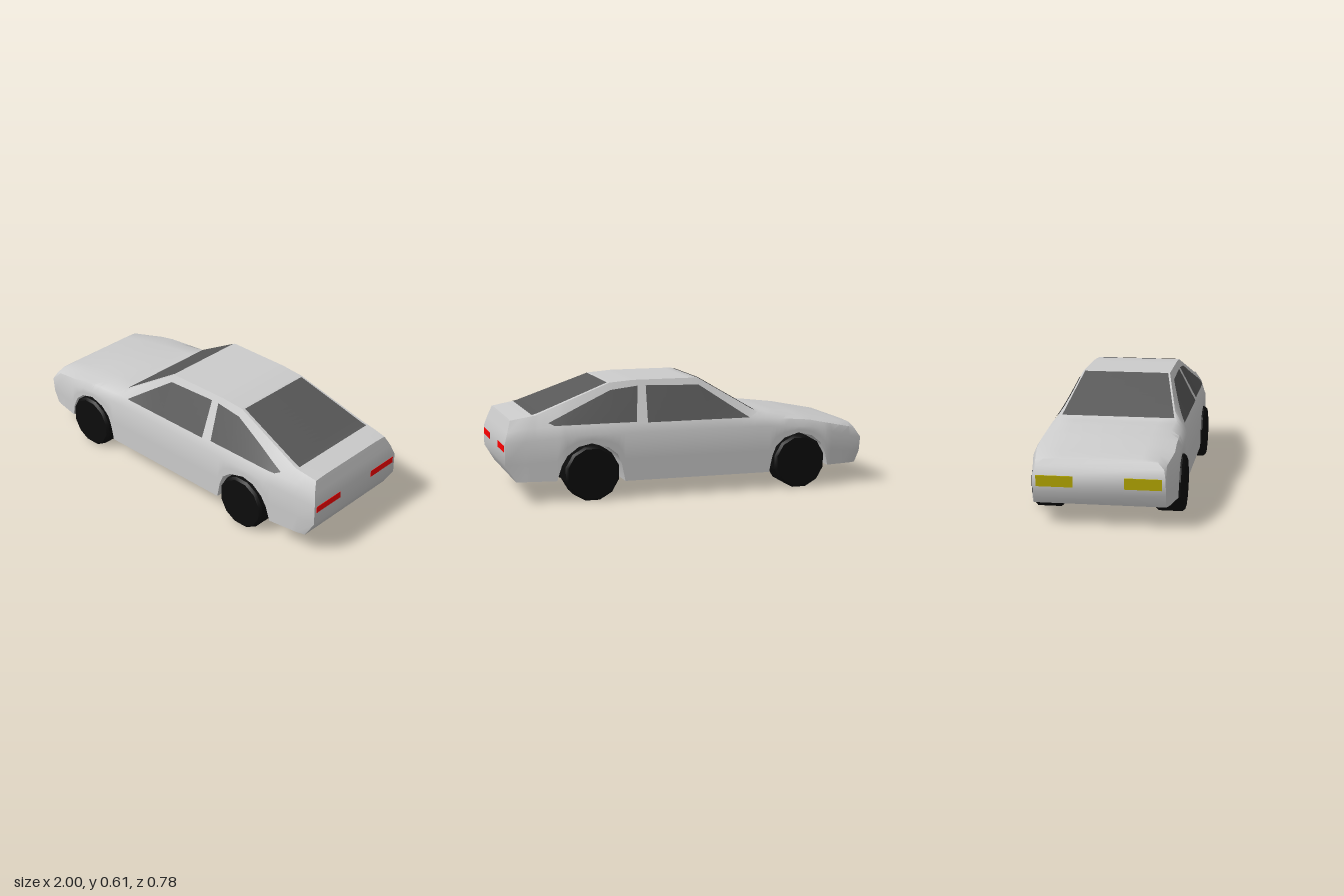
import * as THREE from 'three';
import { toCreasedNormals } from 'three/addons/utils/BufferGeometryUtils.js';

// Body lines along the car: [x, value], nose at -x, tail at +x
const UNDER = [[-1, .11], [-.785, .11], [-.77, .18], [-.74, .24], [-.69, .28], [-.61, .3], [-.53, .275], [-.48, .23],
  [-.46, .18], [-.44, .09], [.37, .09], [.388, .18], [.41, .235], [.46, .275], [.55, .3], [.62, .285], [.68, .24], [.71, .19], [.735, .11], [1, .11]];
const SHOULDER = [[-1, .25], [-.94, .26], [-.68, .33], [-.39, .345], [.6, .345], [1, .31]];
const BELT = [[-1, .3], [-.94, .31], [-.68, .365], [-.39, .39], [.75, .39], [.9, .385], [1, .365]];
const TOP = [[-1, .33], [-.93, .335], [-.68, .378], [-.39, .415], [-.07, .607], [.29, .607], [.42, .597], [.83, .447], [.96, .427], [1, .425]];
const CROWN = [[-1, .004], [-.68, .012], [-.5, .01], [-.39, 0], [.84, 0], [1, .003]];
const WIDTH = [[-1, .33], [-.78, .37], [.7, .37], [1, .33]];
const TOP_WIDTH = [[-1, .285], [-.68, .29], [-.39, .312], [-.07, .24], [.42, .237], [.84, .288], [1, .28]];
const BELT_INSET = [[-1, .012], [-.7, .022], [.8, .022], [1, .018]];
// End outlines: [y, x]
const NOSE = [[.11, -.965], [.19, -1], [.25, -1], [.335, -.945]];
const TAIL = [[.11, .945], [.18, .995], [.2, 1], [.315, 1], [.43, .96]];

// Piecewise linear lookup in a line
function at(line, t) {
  if (t <= line[0][0]) return line[0][1];
  for (let i = 1; i < line.length; i++) {
    const [a, va] = line[i - 1], [b, vb] = line[i];
    if (t <= b) return va + (vb - va) * (t - a) / (b - a);
  }
  return line[line.length - 1][1];
}

const beltZ = x => at(WIDTH, x) - at(BELT_INSET, x);

// Half cross-section, from sill to roof: [z, y]
function halfSection(x) {
  const w = at(WIDTH, x), low = at(UNDER, x), shoulder = at(SHOULDER, x);
  const top = at(TOP, x), tw = at(TOP_WIDTH, x);
  return [[w, low], [w, low + (shoulder - low) * .45], [w, shoulder],
    [beltZ(x), at(BELT, x)], [tw, top], [tw * .72, top + at(CROWN, x)]];
}

function makeGeometry(positions, index) {
  const g = new THREE.BufferGeometry();
  g.setAttribute('position', new THREE.Float32BufferAttribute(positions, 3));
  g.setIndex(index);
  return g;
}

// Shell lofted through the sections, with shaped nose and tail caps
function bodyGeometry() {
  const inner = [];
  for (let x = -.93; x < .92; x += .06) inner.push(x);
  for (const line of [UNDER, SHOULDER, BELT, TOP, TOP_WIDTH]) inner.push(...line.map(p => p[0]));
  const rounded = inner.filter(x => x > -.94 && x < .92).map(x => Math.round(x * 1000) / 1000);
  const xs = [-1, ...[...new Set(rounded)].sort((a, b) => a - b), 1];
  const pos = [], index = [];
  const quad = (a, b, c, d) => index.push(a, b, c, a, c, d);
  xs.forEach(x => {
    const half = halfSection(x);
    const ring = [...half, ...half.map(([z, y]) => [-z, y]).reverse()];
    for (const [z, y] of ring) pos.push(x === -1 ? at(NOSE, y) : x === 1 ? at(TAIL, y) : x, y, z);
  });
  const n = 12, last = (xs.length - 1) * n;
  for (let s = 0; s < xs.length - 1; s++) {
    for (let j = 0; j < n; j++) {
      const k = (j + 1) % n;
      quad(s * n + j, (s + 1) * n + j, (s + 1) * n + k, s * n + k);
    }
  }
  for (let i = 0; i < n / 2 - 1; i++) {
    quad(last + i, last + n - 1 - i, last + n - 2 - i, last + i + 1);
    quad(n - 1 - i, i, i + 1, n - 2 - i);
  }
  return toCreasedNormals(makeGeometry(pos, index), .7);
}

// Glass panel between a lower and an upper edge, laid on a surface rule
function panelGeometry(lower, upper, place) {
  const cols = 16, rows = 6, pos = [], index = [];
  const along = (edge, t) => {
    const f = t * (edge.length - 1), i = Math.min(Math.floor(f), edge.length - 2);
    return edge[i].map((v, k) => v + (edge[i + 1][k] - v) * (f - i));
  };
  for (let c = 0; c <= cols; c++) {
    const a = along(lower, c / cols), b = along(upper, c / cols);
    for (let r = 0; r <= rows; r++) {
      pos.push(...place(a[0] + (b[0] - a[0]) * r / rows, a[1] + (b[1] - a[1]) * r / rows));
      if (c < cols && r < rows) {
        const p = c * (rows + 1) + r, q = p + rows + 1;
        index.push(p, q, q + 1, p, q + 1, p + 1);
      }
    }
  }
  const g = makeGeometry(pos, index);
  g.computeVertexNormals();
  return g;
}

// Point on the cabin side at (x, y)
function onSide(x, y, side) {
  const y0 = at(BELT, x), t = (y - y0) / (at(TOP, x) - y0);
  return [x, y + .001, side * (beltZ(x) + (at(TOP_WIDTH, x) - beltZ(x)) * t + .004)];
}

export function createModel() {
  const car = new THREE.Group();
  car.name = 'car';
  const paint = new THREE.MeshStandardMaterial({ color: 0xcccccc });
  const glass = new THREE.MeshStandardMaterial({ color: 0x585858, side: THREE.DoubleSide });
  const rubber = new THREE.MeshStandardMaterial({ color: 0x0c0c0c });
  const red = new THREE.MeshStandardMaterial({ color: 0xff0000 });
  const yellow = new THREE.MeshStandardMaterial({ color: 0xb5a800 });
  const add = (name, geometry, material) => {
    const mesh = new THREE.Mesh(geometry, material);
    mesh.name = name;
    car.add(mesh);
    return mesh;
  };

  add('body', bodyGeometry(), paint);

  // Windscreen and rear window follow the cabin slopes
  const onTop = (x, z) => [x, at(TOP, x) + .004, z];
  const slopeWindow = (name, x0, z0, x1, z1) =>
    add(name, panelGeometry([[x0, z0], [x1, z1]], [[x0, -z0], [x1, -z1]], onTop), glass);
  slopeWindow('windscreen', -.38, .3, -.075, .23);
  slopeWindow('rearWindow', .43, .225, .845, .272);

  // Tyre outline with chamfered edges
  const tyreProfile = [[0, -.075], [.135, -.075], [.1475, -.062], [.1475, .062], [.135, .075], [0, .075]]
    .map(([r, h]) => new THREE.Vector2(r, h));
  const tyre = toCreasedNormals(new THREE.LatheGeometry(tyreProfile, 12).rotateY(Math.PI / 12).rotateX(Math.PI / 2), .4);

  for (const side of [1, -1]) {
    const hand = side > 0 ? 'PlusZ' : 'MinusZ';
    const place = (x, y) => onSide(x, y, side);

    add('doorWindow' + hand, panelGeometry(
      [[-.33, .392], [-.07, .392], [.24, .392]],
      [[-.33, .394], [-.07, .57], [.225, .577]], place), glass);
    add('quarterWindow' + hand, panelGeometry(
      [[.3, .397], [.45, .397], [.74, .396]],
      [[.27, .577], [.42, .56], [.77, .41]], place), glass);

    add('frontWheel' + hand, tyre, rubber).position.set(-.612, .1425, side * .315);
    add('rearWheel' + hand, tyre, rubber).position.set(.55, .1425, side * .315);

    add('headlight' + hand, new THREE.BoxGeometry(.02, .055, .185), yellow).position.set(-.992, .23, side * .22);
    add('tailLight' + hand, new THREE.BoxGeometry(.02, .035, .187), red).position.set(.992, .283, side * .22);
  }
  return car;
}
